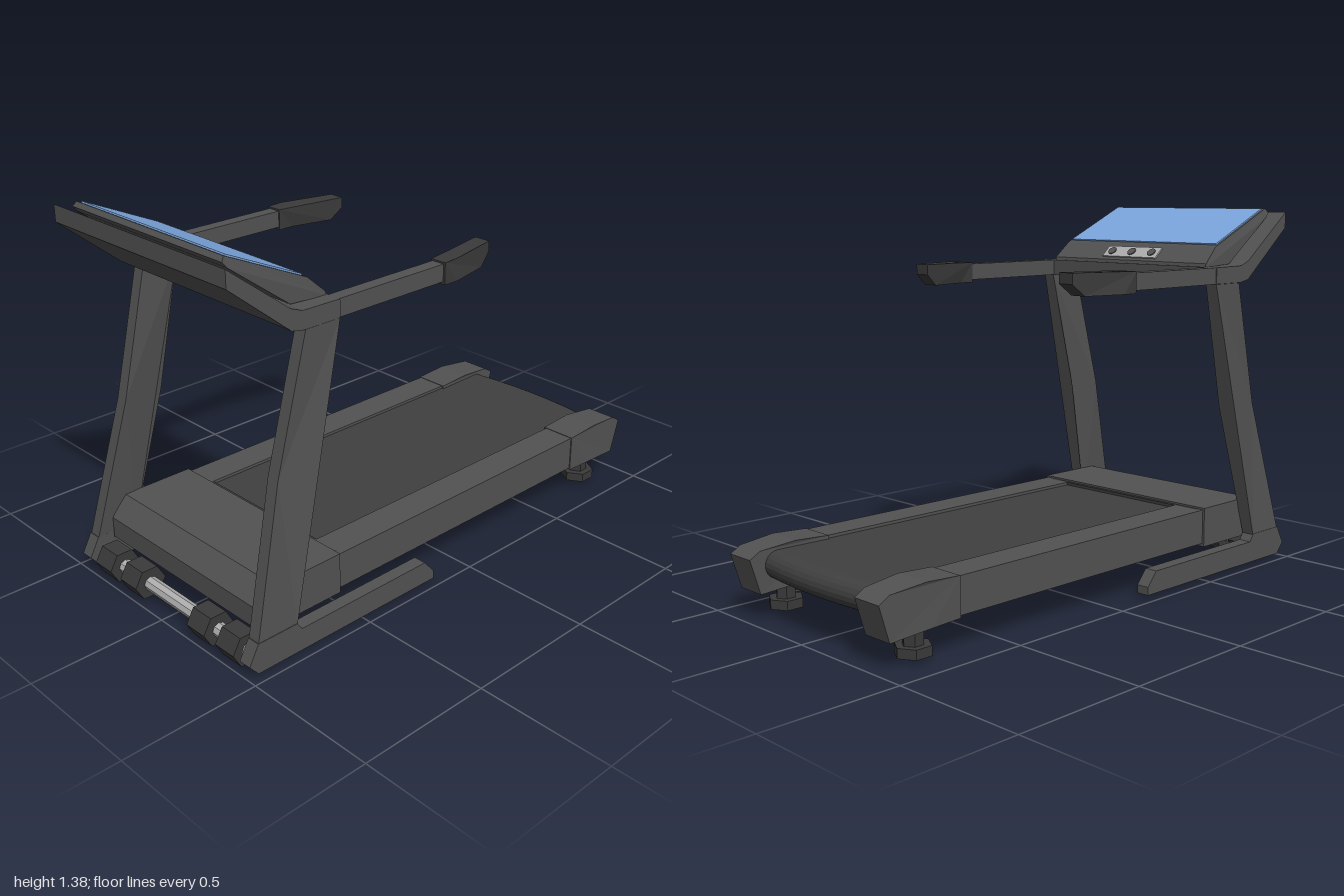
import * as THREE from 'three';

const BODY = 0x525252, DARK = 0x3a3a3a, BELT = 0x404040;

const material = (color) => new THREE.MeshStandardMaterial({ color, flatShading: true });

function mesh(name, geometry, color) {
  const m = new THREE.Mesh(geometry, material(color));
  m.name = name;
  return m;
}

// Extrudes a side outline of [z, y] points from x0 to x1
function sideGeometry(points, x0, x1, steps = 1) {
  const shape = new THREE.Shape(points.map(([z, y]) => new THREE.Vector2(z, y)));
  const g = new THREE.ExtrudeGeometry(shape, { depth: x1 - x0, steps, bevelEnabled: false });
  return g.rotateY(-Math.PI / 2).translate(x1, 0, 0);
}

// Moves each vertex by a rule
function reshape(geometry, rule) {
  const p = geometry.attributes.position;
  const v = new THREE.Vector3();
  for (let i = 0; i < p.count; i++) {
    v.fromBufferAttribute(p, i);
    rule(v);
    p.setXYZ(i, v.x, v.y, v.z);
  }
  geometry.computeVertexNormals();
  return geometry;
}

export function createModel() {
  const root = new THREE.Group();
  root.name = 'treadmill';
  const add = (name, geometry, color, x = 0, y = 0, z = 0) => {
    const m = mesh(name, geometry, color);
    m.position.set(x, y, z);
    root.add(m);
    return m;
  };

  // Running belt: a loop with a rounded, slightly crowned rear end
  const belt = [[0.7, 0.145], [0.7, 0.245]];
  for (let i = 0; i <= 10; i++) {
    const a = Math.PI / 2 + (Math.PI * i) / 10;
    belt.push([-0.89 + 0.05 * Math.cos(a), 0.195 + 0.05 * Math.sin(a)]);
  }
  add('runningBelt', reshape(sideGeometry(belt, -0.287, 0.287, 6), (v) => {
    if (v.z < -0.88) v.z -= 0.02 * (1 - (v.x / 0.287) ** 2);
  }), BELT);

  // Motor hood across the front of the deck
  add('motorHood', sideGeometry(
    [[0.56, 0.113], [0.9, 0.113], [0.9, 0.19], [0.84, 0.263], [0.56, 0.263]], -0.418, 0.418), BODY);
  add('hoodLip', new THREE.BoxGeometry(0.78, 0.012, 0.02), DARK, 0, 0.25, 0.555);

  // Transport axle and hexagonal wheels
  add('axle', new THREE.CylinderGeometry(0.026, 0.026, 0.86, 8).rotateZ(Math.PI / 2), 0xb0b0b0, 0, 0.058, 0.938);
  for (const x of [-0.345, -0.192, 0.192, 0.345]) {
    add('transportWheel', new THREE.CylinderGeometry(0.062, 0.062, 0.094, 6).rotateZ(Math.PI / 2),
      DARK, x, 0.059, 0.938);
  }

  // Paired parts; the bend shifts each vertex outward
  const pair = (name, points, inner, outer, color, bend = () => 0) => {
    for (const s of [1, -1]) {
      const g = sideGeometry(points, s > 0 ? inner : -outer, s > 0 ? outer : -inner);
      add(name, reshape(g, (v) => { v.x += s * bend(v, Math.abs(v.x) > (inner + outer) / 2); }), color);
    }
  };

  pair('sideRail', [[-0.7, 0.125], [0.57, 0.125], [0.57, 0.256], [-0.7, 0.256]], 0.285, 0.41, BODY);

  pair('rearCap',
    [[-0.68, 0.118], [-0.8, 0.113], [-0.96, 0.1], [-1, 0.228], [-0.96, 0.252], [-0.82, 0.266], [-0.68, 0.258]],
    0.277, 0.414, BODY, (v, outside) => (v.z < -0.9 ? (outside ? -0.009 : 0.009) : 0));

  pair('baseFoot',
    [[0.905, 0.02], [0.965, 0.02], [1, 0.06], [0.962, 0.13], [0.8, 0.13], [0.78, 0.102],
      [0.21, 0.102], [0.165, 0.05], [0.165, 0.02]], 0.425, 0.475, BODY);

  // Uprights lean back and bow inward at mid height
  pair('upright',
    [[0.8, 0.12], [0.962, 0.12], [0.828, 0.64], [0.71, 1.112], [0.57, 1.112], [0.679, 0.64]],
    0.385, 0.433, BODY, (v) => (v.y < 0.5 ? 0.041 : v.y > 1 ? 0.009 : 0));

  pair('handrail', [[0.09, 1.113], [0.6, 1.113], [0.6, 1.174], [0.09, 1.174]], 0.39, 0.44, BODY);

  pair('handGrip',
    [[0.11, 1.103], [0.05, 1.103], [-0.11, 1.103], [-0.16, 1.145], [-0.16, 1.183], [0.05, 1.183], [0.11, 1.18]],
    0.386, 0.448, DARK, (v) => (v.z < 0.05 ? (v.z - 0.05) * 0.23 : 0));

  // Levelling feet under the rear caps
  for (const x of [-0.345, 0.345]) {
    add('levellingStem', new THREE.CylinderGeometry(0.037, 0.037, 0.08, 6), DARK, x, 0.08, -0.82);
    add('levellingFoot', new THREE.CylinderGeometry(0.064, 0.064, 0.034, 6), DARK, x, 0.035, -0.82);
  }

  // Console tray spanning the uprights
  add('consoleTray', sideGeometry(
    [[0.57, 1.113], [0.72, 1.113], [0.765, 1.122], [1, 1.312], [1, 1.372], [0.765, 1.193],
      [0.72, 1.176], [0.57, 1.174]], -0.443, 0.443), BODY);

  // Console housing, narrowed slightly along its top
  add('consoleHousing', reshape(sideGeometry(
    [[0.575, 1.172], [0.72, 1.18], [0.95, 1.35], [0.967, 1.37], [0.955, 1.386], [0.645, 1.246], [0.578, 1.186]],
    -0.386, 0.386), (v) => {
    if (v.y > 1.38 || (v.z < 0.66 && v.y > 1.24)) v.x *= 0.98;
  }), BODY);

  const screen = add('screen', new THREE.BoxGeometry(0.74, 0.008, 0.312), 0x7ba5dc, 0, 1.318, 0.801);
  screen.rotation.x = -Math.atan2(0.14, 0.31);

  // Control strip with three round buttons
  const controls = new THREE.Group();
  controls.name = 'controlStrip';
  controls.position.set(0, 1.215, 0.608);
  controls.rotation.x = -Math.atan2(0.06, 0.067);
  controls.add(mesh('buttonPanel', new THREE.BoxGeometry(0.27, 0.008, 0.056), 0xb0b0b0));
  for (const x of [-0.1, 0, 0.1]) {
    const button = mesh('button', new THREE.CylinderGeometry(0.018, 0.018, 0.006, 12), 0x555555);
    button.position.set(x, 0.005, 0);
    controls.add(button);
  }
  root.add(controls);

  return root;
}
